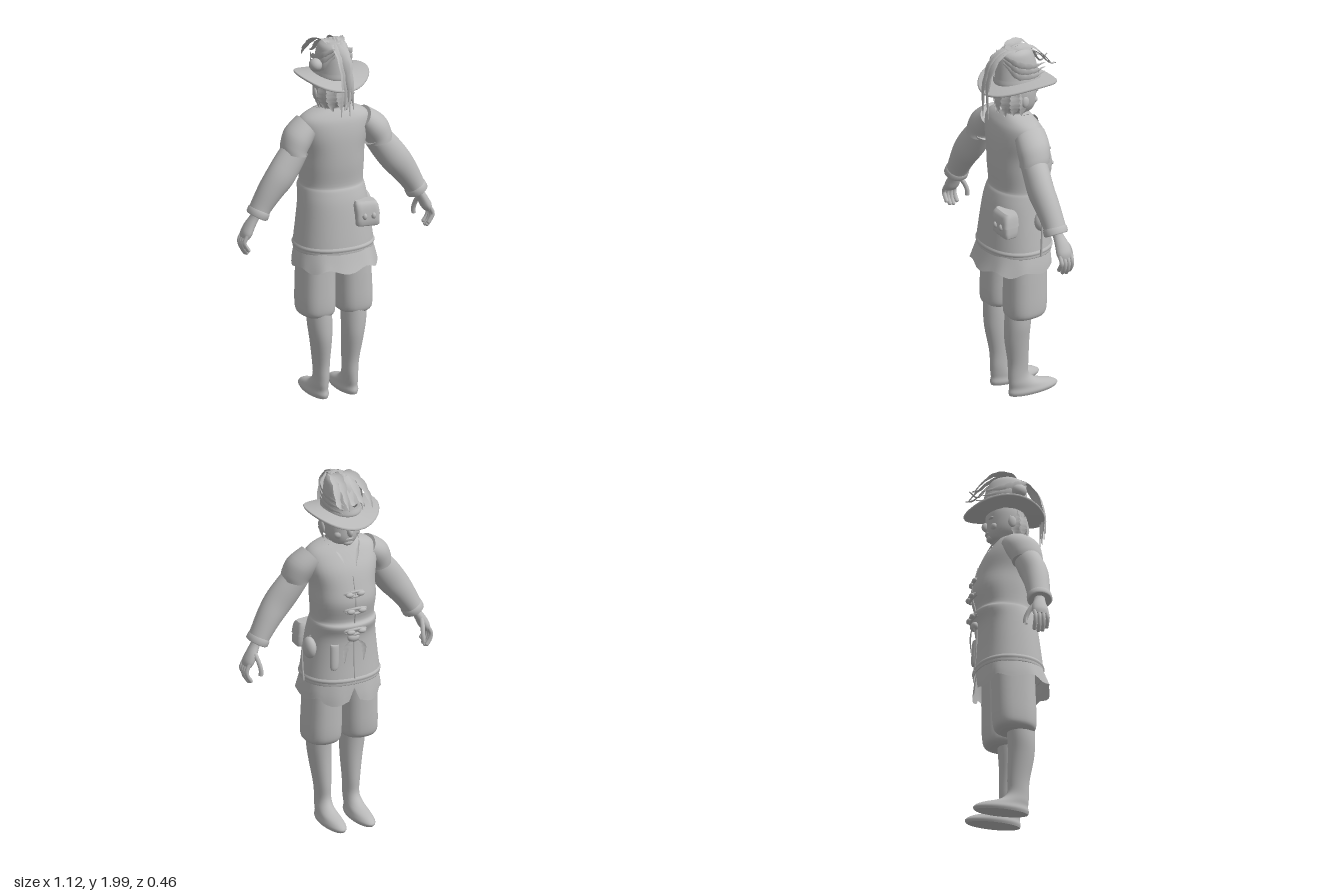
import * as THREE from 'three';

const cloth = new THREE.MeshStandardMaterial({ color: 0xbababa, side: THREE.DoubleSide });
cloth.name = 'plain grey';

// Surface through elliptical rings listed from low to high: [x, y, z, rx, rz, tilt about z in degrees]
function loft(rings, { sub = 4, seg = 28, power = 2, caps = true, rule } = {}) {
  const at = (i) => rings[Math.max(0, Math.min(rings.length - 1, i))];
  const rows = [];
  for (let i = 0; i < rings.length - 1; i++) {
    for (let s = 0; s < sub; s++) {
      const t = s / sub;
      rows.push([0, 1, 2, 3, 4, 5].map((k) => {
        const [a, b, c, d] = [i - 1, i, i + 1, i + 2].map((j) => at(j)[k] || 0);
        return b + 0.5 * t * (c - a + t * (2 * a - 5 * b + 4 * c - d + t * (3 * (b - c) + d - a)));
      }));
    }
  }
  rows.push(rings[rings.length - 1]);
  const pos = [], index = [];
  const bend = (v) => Math.sign(v) * Math.abs(v) ** (2 / power);
  const addRow = ([x, y, z, rx, rz, tilt = 0]) => {
    const r = THREE.MathUtils.degToRad(tilt);
    for (let j = 0; j < seg; j++) {
      const a = (j / seg) * Math.PI * 2, u = bend(Math.cos(a)) * rx, v = bend(Math.sin(a)) * rz;
      const p = new THREE.Vector3(x + u * Math.cos(r), y + u * Math.sin(r), z + v);
      if (rule) rule(p, a);
      pos.push(p.x, p.y, p.z);
    }
  };
  rows.forEach(addRow);
  for (let i = 0; i < rows.length - 1; i++) {
    for (let j = 0; j < seg; j++) {
      const a = i * seg + j, b = i * seg + (j + 1) % seg;
      index.push(a, a + seg, b, b, a + seg, b + seg);
    }
  }
  if (caps) {
    for (const [row, top] of [[rows[0], false], [rows[rows.length - 1], true]]) {
      const base = pos.length / 3;
      addRow(row);
      pos.push(row[0], row[1], row[2]);
      for (let j = 0; j < seg; j++) {
        const a = base + j, b = base + (j + 1) % seg;
        index.push(base + seg, top ? b : a, top ? a : b);
      }
    }
  }
  return finish(pos, index);
}

function finish(pos, index) {
  const g = new THREE.BufferGeometry();
  g.setAttribute('position', new THREE.Float32BufferAttribute(pos, 3));
  g.setIndex(index);
  g.computeVertexNormals();
  return g;
}

const V = (p) => new THREE.Vector3(...p);
const tube = (points, r, n = 10) =>
  new THREE.TubeGeometry(new THREE.CatmullRomCurve3(points.map(V)), n, r, 8, false);
const ball = (x, y, z, rx, ry, rz) =>
  new THREE.SphereGeometry(1, 18, 12).scale(rx, ry, rz).translate(x, y, z);

// Tapered feather blade following a curve, with a ragged edge
function feather(points, width, side) {
  const curve = new THREE.CatmullRomCurve3(points.map(V)), n = 18, pos = [], index = [];
  const s = V(side).normalize();
  for (let i = 0; i <= n; i++) {
    const t = i / n, c = curve.getPoint(t);
    const w = width * Math.sin(Math.PI * (0.12 + 0.86 * t)) * (i % 3 ? 1 : 0.75);
    const crest = new THREE.Vector3().crossVectors(curve.getTangent(t), s).multiplyScalar(width * 0.25);
    for (const k of [-1, 0, 1]) {
      const p = c.clone().addScaledVector(s, k * w);
      if (k === 0) p.add(crest);
      pos.push(p.x, p.y, p.z);
    }
    if (i < n) for (const k of [0, 1]) {
      const a = i * 3 + k;
      index.push(a, a + 3, a + 1, a + 1, a + 3, a + 4);
    }
  }
  return finish(pos, index);
}

function mirrored(g) {
  const m = g.clone().scale(-1, 1, 1), ix = m.index.array;
  for (let i = 0; i < ix.length; i += 3) [ix[i], ix[i + 1]] = [ix[i + 1], ix[i]];
  m.computeVertexNormals();
  return m;
}

export function createModel() {
  const model = new THREE.Group();
  const add = (name, g) => {
    const m = new THREE.Mesh(g, cloth);
    m.name = name;
    model.add(m);
  };
  const pair = (name, g) => { add('left' + name, g); add('right' + name, mirrored(g)); };

  // Boots and baggy breeches
  pair('Boot', loft([
    [0.085, 0.002, -0.05, 0.05, 0.145], [0.085, 0.02, -0.052, 0.057, 0.152], [0.085, 0.045, -0.035, 0.05, 0.13],
    [0.085, 0.075, 0.015, 0.044, 0.083], [0.083, 0.12, 0.04, 0.041, 0.06], [0.085, 0.2, 0.043, 0.045, 0.06],
    [0.092, 0.33, 0.055, 0.058, 0.07], [0.098, 0.42, 0.055, 0.066, 0.073], [0.1, 0.5, 0.05, 0.066, 0.075]]));
  pair('BreechesLeg', loft([
    [0.105, 0.465, 0.025, 0.07, 0.085], [0.107, 0.485, 0.018, 0.096, 0.108], [0.107, 0.54, 0.015, 0.102, 0.116],
    [0.105, 0.65, 0.012, 0.101, 0.116], [0.102, 0.75, 0.01, 0.1, 0.115], [0.1, 0.85, 0.01, 0.098, 0.115]], { power: 2.4 }));

  // Shirt tail with a wavy hem
  add('shirtTail', loft([
    [0, 0.75, 0.028, 0.226, 0.197], [0, 0.8, 0.02, 0.218, 0.185], [0, 0.9, 0.01, 0.195, 0.16]], {
    power: 2.3, seg: 60, caps: false,
    rule: (p, a) => {
      const k = Math.max(0, (0.86 - p.y) / 0.11);
      p.y += k * 0.012 * Math.sin(a * 7);
      p.z *= 1 + k * 0.025 * Math.sin(a * 9);
      if (p.z < -0.12) p.y += k * (Math.abs(p.x) < 0.03 ? 0.05 : -0.02);
    },
  }));

  // Tunic, gathered at the waist
  add('tunic', loft([
    [0, 0.835, 0.01, 0.212, 0.178], [0, 0.85, 0.01, 0.216, 0.182], [0, 0.97, 0.008, 0.202, 0.17],
    [0, 1.1, 0, 0.186, 0.16], [0, 1.17, -0.022, 0.178, 0.163], [0, 1.2, -0.018, 0.17, 0.147],
    [0, 1.3, -0.025, 0.176, 0.163], [0, 1.39, -0.015, 0.178, 0.155], [0, 1.48, -0.002, 0.198, 0.138],
    [0, 1.55, 0.012, 0.198, 0.11], [0, 1.59, 0.015, 0.16, 0.086], [0, 1.62, 0.012, 0.075, 0.066]], { power: 2.2, seg: 40, caps: false }));
  add('hemBand', loft([
    [0, 0.85, 0.01, 0.217, 0.183], [0, 0.862, 0.01, 0.22, 0.186], [0, 0.874, 0.01, 0.214, 0.18]], { power: 2.2, seg: 40, caps: false }));

  // Arms: short over-sleeve, long sleeve, cuff and hand
  pair('ShoulderSleeve', loft([
    [0.248, 1.4, 0.05, 0.07, 0.083, 14], [0.243, 1.43, 0.045, 0.073, 0.086, 22],
    [0.215, 1.48, 0.035, 0.078, 0.092, 35], [0.16, 1.53, 0.02, 0.065, 0.09, 55]]));
  pair('Sleeve', loft([
    [0.463, 1.085, 0.06, 0.055, 0.062, 28], [0.44, 1.13, 0.06, 0.058, 0.061, 30], [0.39, 1.21, 0.065, 0.07, 0.066, 34],
    [0.338, 1.28, 0.068, 0.08, 0.069, 40], [0.285, 1.35, 0.06, 0.08, 0.07, 42], [0.225, 1.43, 0.05, 0.07, 0.07, 40]]));
  pair('Cuff', loft([
    [0.466, 1.08, 0.06, 0.053, 0.06, 28], [0.463, 1.085, 0.06, 0.06, 0.068, 28],
    [0.451, 1.108, 0.06, 0.06, 0.067, 29], [0.446, 1.118, 0.06, 0.053, 0.06, 30]], { sub: 1 }));
  pair('Palm', loft([
    [0.53, 0.965, 0.048, 0.02, 0.038, 15], [0.52, 0.99, 0.048, 0.028, 0.045, 20], [0.5, 1.03, 0.048, 0.027, 0.04, 25],
    [0.475, 1.075, 0.055, 0.024, 0.03, 28], [0.46, 1.11, 0.058, 0.026, 0.032, 28]], { seg: 16 }));
  for (let i = 0; i < 4; i++) {
    const z = 0.015 + i * 0.022, drop = [0.01, 0, 0.005, 0.025][i];
    pair('Finger' + (i + 1), tube([[0.528, 0.985, z], [0.546, 0.945, z], [0.54, 0.905 + drop, z], [0.522, 0.877 + drop, z]], 0.0115));
    pair('FingerTip' + (i + 1), ball(0.522, 0.877 + drop, z, 0.011, 0.011, 0.011));
  }
  pair('Thumb', tube([[0.495, 1.04, 0.025], [0.487, 1.0, -0.005], [0.48, 0.955, -0.022], [0.482, 0.925, -0.024]], 0.0125));

  // Neck, head and face
  add('head', loft([
    [0, 1.54, 0.01, 0.062, 0.055], [0, 1.6, 0.0, 0.06, 0.06], [0, 1.62, -0.02, 0.066, 0.078], [0, 1.655, -0.013, 0.088, 0.098],
    [0, 1.7, -0.006, 0.1, 0.106], [0, 1.76, -0.004, 0.103, 0.106], [0, 1.82, 0, 0.09, 0.095]]));
  add('nose', ball(0, 1.69, -0.113, 0.016, 0.026, 0.022));
  add('mouth', ball(0, 1.65, -0.103, 0.026, 0.007, 0.012));
  add('chin', ball(0, 1.625, -0.088, 0.03, 0.018, 0.02));
  pair('Brow', ball(0.042, 1.725, -0.095, 0.03, 0.009, 0.013));
  pair('Cheek', ball(0.05, 1.675, -0.08, 0.026, 0.022, 0.02));
  pair('Ear', ball(0.1, 1.695, 0.005, 0.013, 0.032, 0.022));
  for (let i = 0; i < 7; i++) {
    const a = (i / 6) * Math.PI, c = Math.cos(a), s = Math.sin(a);
    add('hairLock' + (i + 1), feather([[0.095 * c, 1.77, 0.02 + 0.08 * s], [0.107 * c, 1.69, 0.02 + 0.095 * s],
      [0.085 * c, 1.61 + 0.01 * (i % 2), 0.025 + 0.085 * s]], 0.03, [-s, 0, c]));
  }

  // V collar
  pair('Collar', feather([[0.06, 1.6, 0.06], [0.082, 1.61, 0.0], [0.06, 1.575, -0.083], [0.003, 1.45, -0.152]], 0.018, [0.8, 0.5, 0]));

  // Front toggles, belt knot and hanging tabs
  [1.36, 1.27, 1.15].forEach((y, i) => {
    const z = [-0.173, -0.19, -0.187][i];
    add('toggleLoop' + (i + 1), tube([[-0.06, y, z + 0.012], [-0.02, y + 0.012, z - 0.004], [0.03, y + 0.012, z - 0.004],
      [0.065, y, z + 0.012], [0.03, y - 0.012, z - 0.004], [-0.02, y - 0.012, z - 0.004], [-0.06, y, z + 0.012]], 0.008, 24));
    for (const x of [-0.03, 0.035])
      add('togglePeg' + (i + 1), ball(x, y, z - 0.008, 0.024, 0.014, 0.014));
  });
  add('beltKnot', ball(0.01, 1.11, -0.172, 0.035, 0.025, 0.022));
  for (const x of [-0.03, 0.04])
    add('beltEnd', feather([[0.01, 1.11, -0.185], [x * 1.4, 1.06, -0.182], [x * 1.6, 0.97, -0.176]], 0.018, [1, 0.2, 0]));
  add('frontSeam', tube([[0, 1.45, -0.153], [0, 1.3, -0.188], [0, 1.19, -0.167], [0, 1.1, -0.162], [0, 0.97, -0.163], [0, 0.85, -0.172]], 0.004, 20));
  add('knifeSheath', loft([
    [0.11, 0.93, -0.145, 0.014, 0.01], [0.11, 0.95, -0.147, 0.024, 0.016], [0.105, 1.06, -0.14, 0.026, 0.018], [0.1, 1.07, -0.138, 0.02, 0.014]], { seg: 14 }));

  // Back pouch with flap and studs, and round side pouch with strap
  add('backPouch', loft([
    [0.125, 0.975, 0.15, 0.055, 0.03, -4], [0.125, 0.985, 0.153, 0.068, 0.042, -4], [0.125, 1.04, 0.15, 0.067, 0.045, -4],
    [0.12, 1.095, 0.145, 0.064, 0.038, -4], [0.12, 1.105, 0.142, 0.055, 0.028, -4]], { power: 5, sub: 2 }));
  add('pouchFlap', loft([
    [0.125, 1.04, 0.15, 0.07, 0.05, -4], [0.12, 1.09, 0.147, 0.068, 0.046, -4], [0.12, 1.112, 0.142, 0.058, 0.032, -4]], { power: 5, sub: 2 }));
  for (const x of [0.1, 0.15]) add('pouchStud', ball(x, 1.035, 0.197, 0.013, 0.018, 0.013));
  add('sidePouch', ball(0.2, 1.035, -0.035, 0.034, 0.06, 0.05));
  add('sideStrap', tube([[0.19, 1.1, -0.03], [0.225, 1.05, -0.015], [0.23, 0.95, -0.01], [0.222, 0.84, -0.01]], 0.006));

  // Hat with a turned brim, band and tall crown
  const curl = (p) => { p.y += 0.04 * (p.x / 0.2) ** 2 - 0.015 * Math.abs(p.z / 0.2) ** 2; };
  add('hatBrim', loft([
    [0, 1.762, -0.01, 0.095, 0.1], [0, 1.765, -0.012, 0.193, 0.212], [0, 1.772, -0.012, 0.197, 0.217],
    [0, 1.778, -0.012, 0.192, 0.21], [0, 1.80, -0.008, 0.09, 0.12]], { sub: 1, seg: 40, caps: false, rule: curl }));
  add('hatBand', loft([
    [0, 1.785, -0.008, 0.1, 0.13], [0, 1.8, -0.008, 0.104, 0.135], [0, 1.825, -0.006, 0.1, 0.13]], { caps: false }));
  add('hatCrown', loft([
    [0, 1.77, -0.008, 0.1, 0.13], [0, 1.85, -0.005, 0.09, 0.12], [0, 1.92, 0, 0.083, 0.105],
    [0, 1.96, 0.005, 0.072, 0.085], [0, 1.98, 0.01, 0.045, 0.05]]));
  add('hatRosette', ball(-0.115, 1.87, 0.04, 0.035, 0.035, 0.04));

  // Plumes falling behind, sweeping forward, and wrapping the crown
  for (let i = 0; i < 5; i++) {
    const x = (i - 2) * 0.011, k = i % 3;
    add('backPlume' + (i + 1), feather([[x, 1.9, -0.05], [x, 1.975, 0.03 + 0.01 * k], [x, 1.93, 0.13 + 0.015 * k],
      [x, 1.8, 0.185 + 0.012 * k], [x * 1.5, 1.61 + 0.04 * k, 0.185 + 0.012 * k]], 0.02, [1, 0, 0.6 * (k - 1)]));
    add('frontPlume' + (i + 1), feather([[x, 1.93, 0.08], [x * 2, 1.985, 0.02], [x * 3, 1.972 - 0.01 * k, -0.08],
      [x * 4, 1.9 - 0.02 * k, -0.16], [x * 4, 1.85 + 0.02 * k, -0.2]], 0.022, [1, 0.3 * (k - 1), 0]));
  }
  for (let i = 0; i < 3; i++)
    pair('CrownPlume' + (i + 1), feather([[0.03, 1.96 - 0.02 * i, 0.1], [0.09, 1.92 - 0.035 * i, 0.05],
      [0.1, 1.89 - 0.03 * i, -0.04], [0.055, 1.87 - 0.025 * i, -0.15]], 0.02, [0.2, 1, 0]));

  return model;
}
